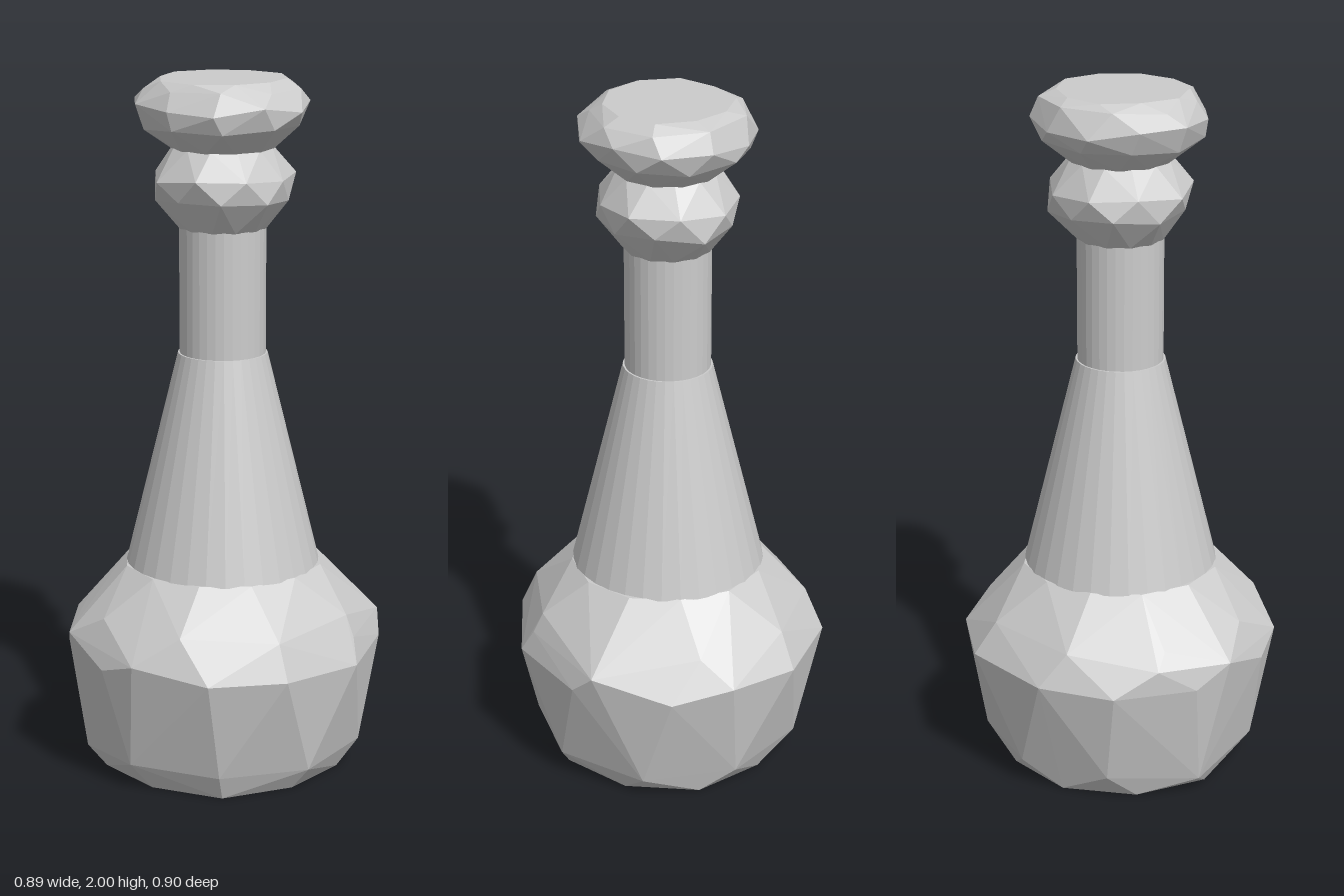
import * as THREE from 'three';
import { ConvexGeometry } from 'three/addons/geometries/ConvexGeometry.js';

const material = new THREE.MeshStandardMaterial({ color: 0xcccccc, flatShading: true });

function seeded(seed) {
  return () => (seed = (seed * 16807) % 2147483647) / 2147483647;
}

// Ring of points, slightly irregular: r radius, y height, n sides, turn in steps
function ring({ r, y, n, turn = 0, dr = 0, dy = 0 }, rnd) {
  return Array.from({ length: n }, (_, i) => {
    const a = ((i + turn) / n) * Math.PI * 2;
    const rr = r + (rnd() - 0.5) * dr;
    return new THREE.Vector3(Math.cos(a) * rr, y + (rnd() - 0.5) * dy, Math.sin(a) * rr);
  });
}

// Faceted, cut-stone body wrapped around its rings
function facetedBody(name, rings, seed, extra = []) {
  const rnd = seeded(seed);
  const points = rings.flatMap((r) => ring(r, rnd)).concat(extra);
  const mesh = new THREE.Mesh(new ConvexGeometry(points), material);
  mesh.name = name;
  return mesh;
}

// Straight or tapered neck section
function neckSection(name, rTop, rBottom, y0, y1) {
  const geometry = new THREE.CylinderGeometry(rTop, rBottom, y1 - y0, 32);
  const mesh = new THREE.Mesh(geometry, material);
  mesh.position.y = (y0 + y1) / 2;
  mesh.name = name;
  return mesh;
}

export function createModel() {
  const group = new THREE.Group();
  group.name = 'bottle';

  // Widest outline of the bulb: x, y, z
  const girth = [
    [0.05, 0.36, -0.455], [0.27, 0.42, -0.38], [0.32, 0.36, -0.33], [0.41, 0.43, -0.11],
    [0.445, 0.36, -0.085], [0.42, 0.37, 0.18], [0.285, 0.37, 0.36], [0.075, 0.4, 0.45],
    [-0.05, 0.36, 0.445], [-0.23, 0.42, 0.4], [-0.31, 0.36, 0.325], [-0.37, 0.43, 0.23],
    [-0.44, 0.36, 0.12], [-0.45, 0.37, -0.1], [-0.32, 0.38, -0.34], [-0.13, 0.39, -0.44],
  ].map((p) => new THREE.Vector3(...p));

  // Bulb
  group.add(facetedBody('bulb', [
    { r: 0.35, y: 0, n: 10, turn: 0.3, dr: 0.02 },
    { r: 0.4, y: 0.06, n: 9, turn: 0.2, dr: 0.02, dy: 0.04 },
    { r: 0.405, y: 0.48, n: 9, turn: 0.6, dr: 0.02, dy: 0.03 },
    { r: 0.285, y: 0.605, n: 12, dr: 0.01 },
  ], 17, girth));

  // Neck
  group.add(neckSection('taperedShoulder', 0.128, 0.28, 0.6, 1.22));
  group.add(neckSection('neck', 0.123, 0.123, 1.2, 1.62));

  // Collar
  group.add(facetedBody('collar', [
    { r: 0.125, y: 1.58, n: 12 },
    { r: 0.195, y: 1.665, n: 9, turn: 0.2, dr: 0.02, dy: 0.02 },
    { r: 0.2, y: 1.725, n: 9, turn: 0.7, dr: 0.02, dy: 0.02 },
    { r: 0.142, y: 1.81, n: 12 },
  ], 41));

  // Stopper
  group.add(facetedBody('stopper', [
    { r: 0.145, y: 1.805, n: 11 },
    { r: 0.232, y: 1.87, n: 10, turn: 0.3, dr: 0.02, dy: 0.02 },
    { r: 0.25, y: 1.925, n: 11, turn: 0.6, dr: 0.012, dy: 0.03 },
    { r: 0.222, y: 1.98, n: 9, turn: 0.2, dr: 0.02, dy: 0.015 },
    { r: 0.185, y: 2, n: 10, dr: 0.02 },
  ], 73));

  return group;
}
